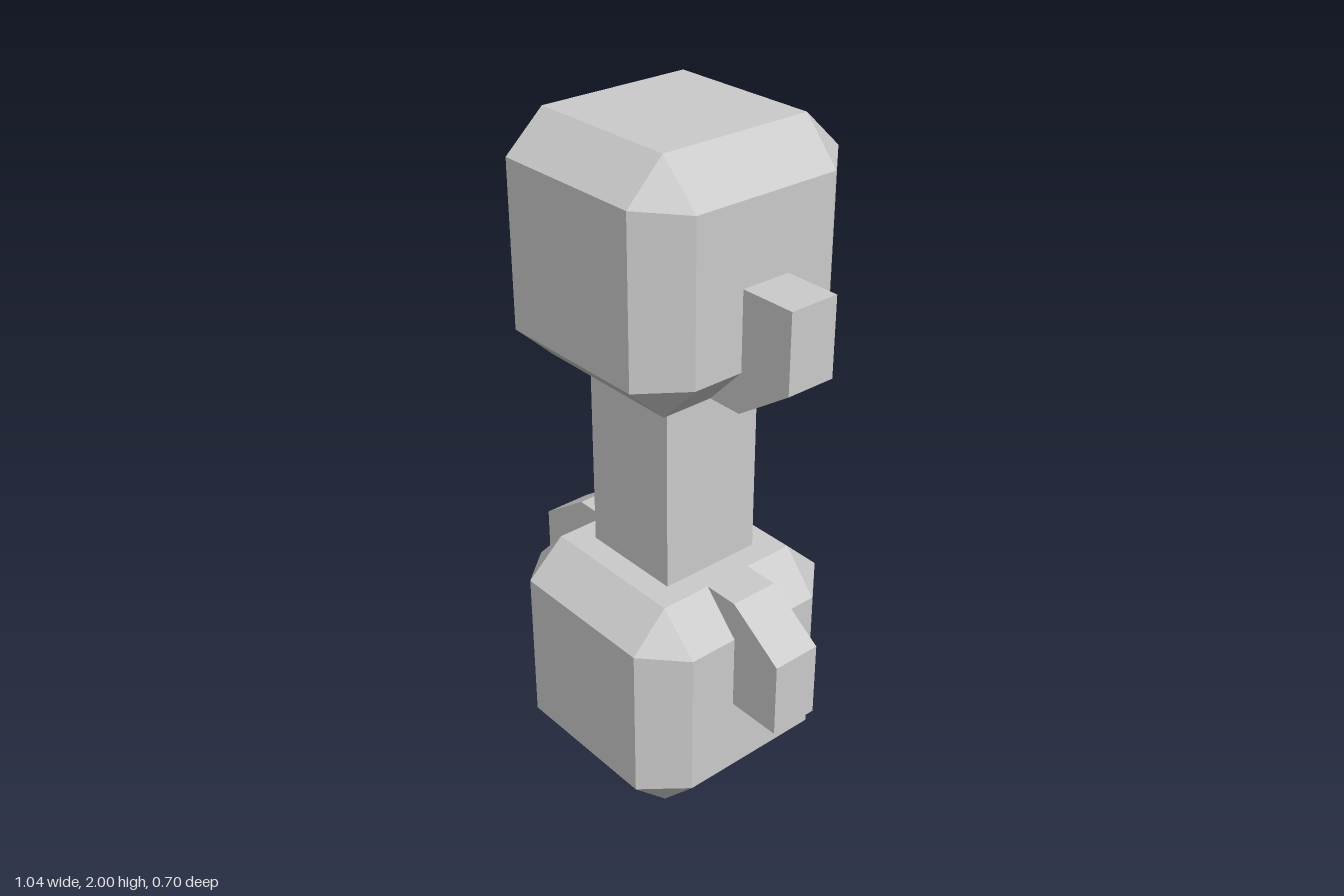
import * as THREE from 'three';
import { ConvexGeometry } from 'three/addons/geometries/ConvexGeometry.js';

const material = new THREE.MeshStandardMaterial({ color: 0xcccccc, flatShading: true });

function part(name, geometry, parent) {
  const mesh = new THREE.Mesh(geometry, material);
  mesh.name = name;
  parent.add(mesh);
  return mesh;
}

// Cube with chamfered edges and corners: four corners on each of six faces
function chamferedBlock() {
  const half = 0.35;
  const points = [];
  for (const a of [-1, 1]) for (const b of [-1, 1]) for (const c of [-1, 1]) {
    points.push(
      new THREE.Vector3(a * half, b * 0.23, c * 0.23),
      new THREE.Vector3(a * 0.235, b * half, c * 0.235),
      new THREE.Vector3(a * 0.24, b * 0.24, c * half)
    );
  }
  return new ConvexGeometry(points);
}

// Side lug with a sloped shoulder, flush with the top of a block centred on y = 0
function lugGeometry() {
  const depth = 0.152;
  const profile = [[0.235, 0], [0.52, 0], [0.52, 0.23], [0.345, 0.35], [0.235, 0.35]];
  const shape = new THREE.Shape(profile.map(([x, y]) => new THREE.Vector2(x, y)));
  return new THREE.ExtrudeGeometry(shape, { depth, bevelEnabled: false }).translate(0, 0, -depth / 2);
}

export function createModel() {
  const model = new THREE.Group();
  model.name = 'dumbbell';

  // Square handle between the two weights
  part('handle', new THREE.BoxGeometry(0.325, 0.6, 0.325), model).position.y = 1;

  // Lower weight, and the upper one turned over so the lugs face inwards
  const block = chamferedBlock();
  const lug = lugGeometry();
  for (const [name, y, turn] of [['lowerWeight', 0.35, 0], ['upperWeight', 1.65, Math.PI]]) {
    const weight = new THREE.Group();
    weight.name = name;
    part('block', block, weight);
    part('leftLug', lug, weight).rotation.y = turn;
    part('rightLug', lug, weight).rotation.y = Math.PI - turn;
    weight.position.y = y;
    weight.rotation.z = turn;
    // Keep left and right names true after turning over
    if (turn) weight.children.slice(1).forEach((m) => { m.rotation.y = m.name === 'leftLug' ? Math.PI : 0; });
    model.add(weight);
  }
  return model;
}
